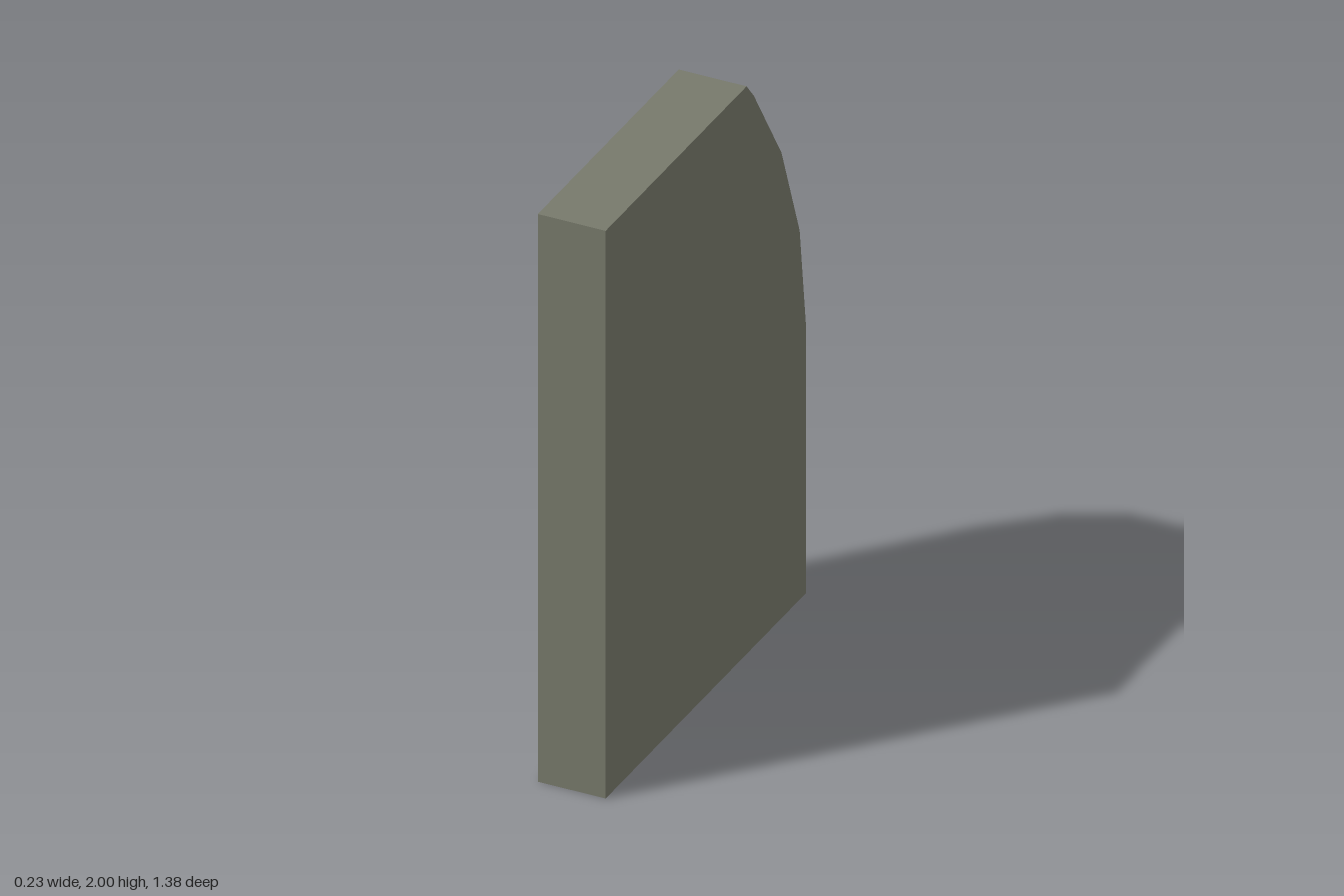
import * as THREE from 'three';

const WIDTH = 0.23;

export function createModel() {
  const group = new THREE.Group();
  group.name = 'slab';

  const stone = new THREE.MeshStandardMaterial({ color: 0x77796b });
  stone.name = 'grey green stone';

  // Side profile as (distance to the back, height), with a faceted curve at the upper back
  const profile = [
    [-0.69, 0], [0.69, 0], [0.69, 0.93], [0.645, 1.3],
    [0.52, 1.64], [0.33, 1.94], [0.28, 2], [-0.69, 2],
  ].map(([back, y]) => new THREE.Vector2(back, y));

  // Extrude across the width, then turn the profile's back towards -z
  const geometry = new THREE.ExtrudeGeometry(new THREE.Shape(profile), {
    depth: WIDTH,
    bevelEnabled: false,
  });
  geometry.translate(0, 0, -WIDTH / 2);
  geometry.rotateY(Math.PI / 2);

  const panel = new THREE.Mesh(geometry, stone);
  panel.name = 'curvedPanel';
  group.add(panel);

  return group;
}
